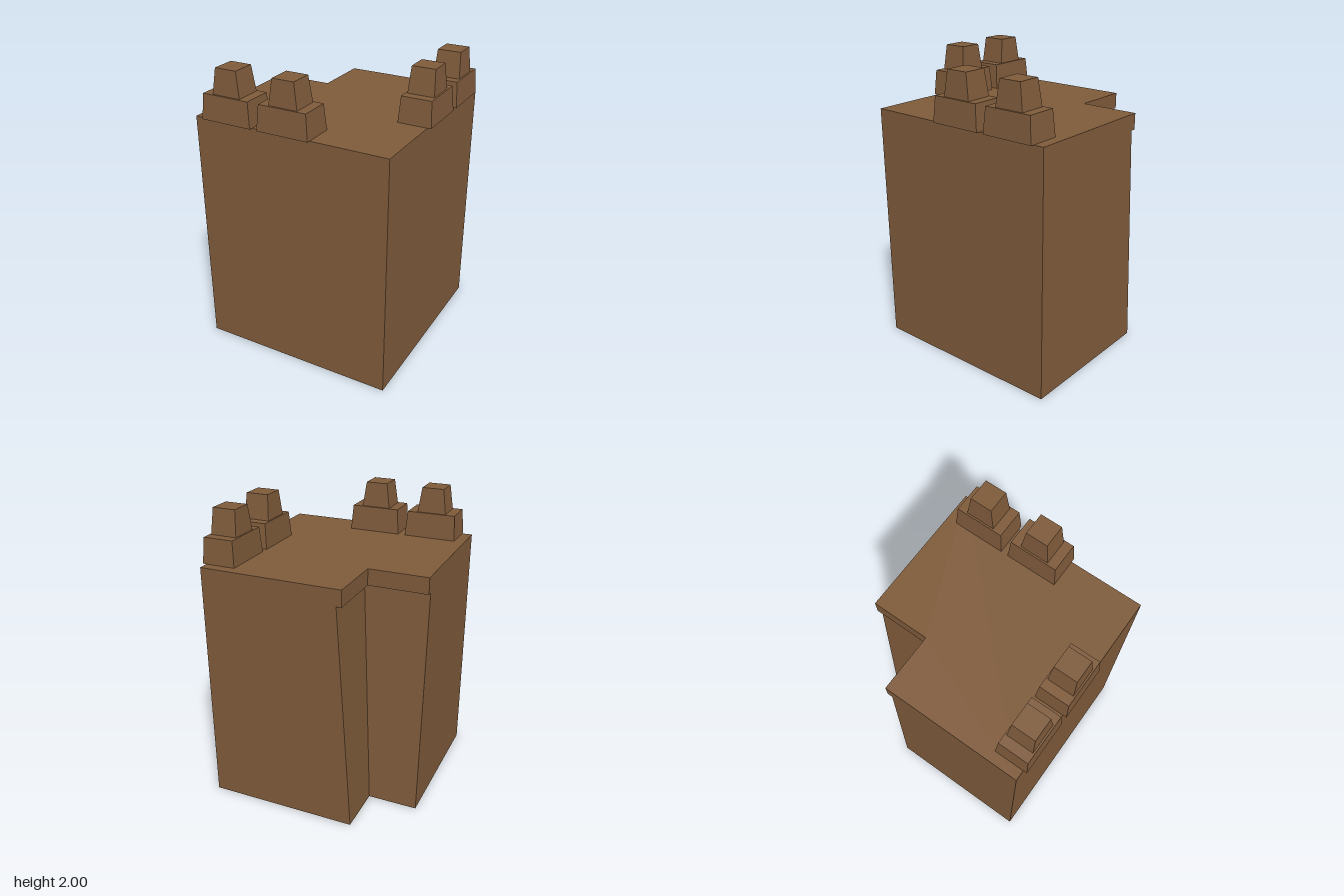
import * as THREE from 'three';

const MIN = -0.695, MAX = 0.665;
const WALL_TOP = 1.55, ROOF = 1.66;

// L-shaped block whose back corner notch shifts from nBottom to nTop
function notchedBlock(y0, y1, nBottom, nTop) {
  const shape = new THREE.Shape([
    [MIN, -MAX], [MAX, -MAX], [MAX, -MIN],
    [-nBottom, -MIN], [-nBottom, nBottom], [MIN, nBottom],
  ].map(([x, y]) => new THREE.Vector2(x, y)));
  const geo = new THREE.ExtrudeGeometry(shape, { depth: y1 - y0, bevelEnabled: false });
  geo.rotateX(-Math.PI / 2).translate(0, y0, 0);
  const p = geo.attributes.position;
  for (let i = 0; i < p.count; i++) {
    if (p.getY(i) < y1 - 1e-4) continue;
    if (Math.abs(p.getX(i) + nBottom) < 1e-4) p.setX(i, -nTop);
    if (Math.abs(p.getZ(i) + nBottom) < 1e-4) p.setZ(i, -nTop);
  }
  geo.computeVertexNormals();
  return geo;
}

// Box tapering inwards towards its top by the given insets
function taperedBox(w, h, d, insetX, insetZ) {
  const geo = new THREE.BoxGeometry(w, h, d).toNonIndexed();
  const p = geo.attributes.position;
  for (let i = 0; i < p.count; i++) {
    if (p.getY(i) < 0) continue;
    p.setX(i, p.getX(i) - Math.sign(p.getX(i)) * insetX);
    p.setZ(i, p.getZ(i) - Math.sign(p.getZ(i)) * insetZ);
  }
  geo.translate(0, h / 2, 0);
  geo.computeVertexNormals();
  return geo;
}

export function createModel() {
  const model = new THREE.Group();
  model.name = 'tower';
  const brown = new THREE.MeshStandardMaterial({ color: 0x7f5b3b });
  brown.name = 'brown';

  const add = (parent, geo, name, y = 0) => {
    const mesh = new THREE.Mesh(geo, brown);
    mesh.name = name;
    mesh.position.y = y;
    parent.add(mesh);
  };

  // Main block, with a roof slab overhanging the notch
  add(model, notchedBlock(0, WALL_TOP, 0.355, 0.26), 'towerWalls');
  add(model, notchedBlock(WALL_TOP, ROOF, 0.295, 0.295), 'roofSlab');

  // Stepped battlements: two on the front edge, two on the left edge
  const lower = taperedBox(0.36, 0.17, 0.226, 0.014, 0.011);
  const upper = taperedBox(0.2, 0.17, 0.18, 0.024, 0.011);
  const edge = 0.577;
  for (const along of [-0.445, -0.035]) {
    for (const side of ['front', 'left']) {
      const battlement = new THREE.Group();
      battlement.name = side + 'Battlement';
      add(battlement, lower, 'battlementBase');
      add(battlement, upper, 'battlementTop', 0.17);
      if (side === 'front') {
        battlement.position.set(along, ROOF, edge);
      } else {
        battlement.position.set(edge, ROOF, along);
        battlement.rotation.y = Math.PI / 2;
      }
      model.add(battlement);
    }
  }
  return model;
}
